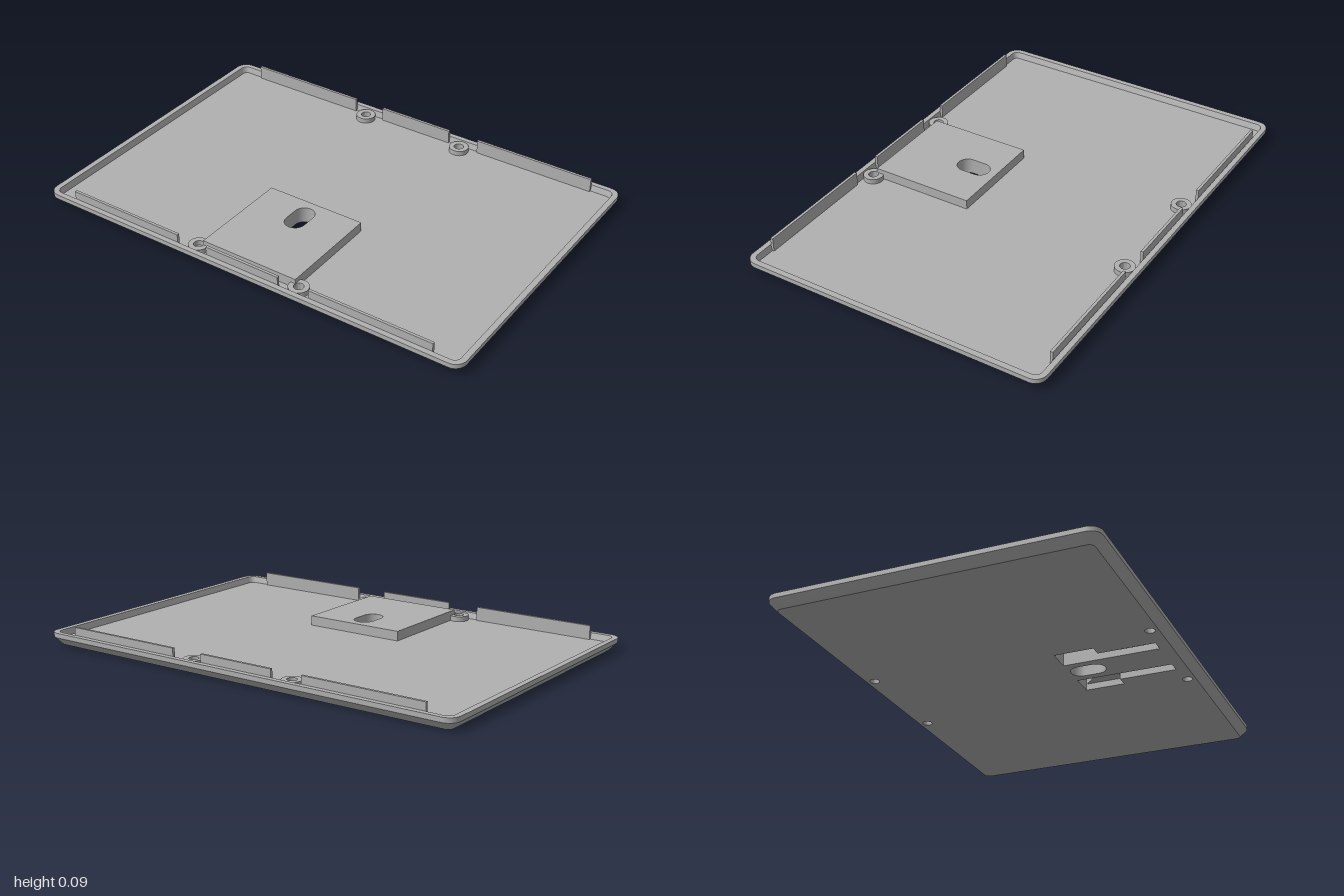
import * as THREE from 'three';
import { mergeGeometries, toCreasedNormals } from 'three/addons/utils/BufferGeometryUtils.js';

const FLOOR = 0.028, RIM = 0.055, CHAMFER = 0.035, PAD = 0.07, BOSS = 0.05, TAB = 0.088;

// Outlines are closed loops of (x, z) points.
const arc = (cx, cz, r, a0, a1, n) => Array.from({ length: n + 1 }, (_, i) => {
  const a = a0 + (a1 - a0) * i / n;
  return new THREE.Vector2(cx + r * Math.cos(a), cz + r * Math.sin(a));
});
const circle = (x, z, r) => arc(x, z, r, 0, Math.PI * 2, 28).slice(0, -1);
const roundedRect = (hx, hz, r) => [[1, 1], [-1, 1], [-1, -1], [1, -1]].flatMap(([sx, sz], i) =>
  arc(sx * (hx - r), sz * (hz - r), r, i * Math.PI / 2, (i + 1) * Math.PI / 2, 8));
const poly = (pts) => pts.map(([x, z]) => new THREE.Vector2(x, z));

// Flat face at height y, facing up or down, with holes.
function cap(outline, holes, y, up) {
  const s = up ? -1 : 1;
  const flip = (pts) => pts.map((p) => new THREE.Vector2(p.x, p.y * s));
  const shape = new THREE.Shape(flip(outline));
  shape.holes = holes.map((h) => new THREE.Path(flip(h)));
  const g = new THREE.ShapeGeometry(shape).rotateX(s * Math.PI / 2).translate(0, y, 0).toNonIndexed();
  g.deleteAttribute('uv');
  return g;
}

// Wall joining two outlines that have equal point counts.
function band(a, ya, b, yb) {
  const pos = [];
  a.forEach((p, i) => {
    const j = (i + 1) % a.length, q = a[j], u = b[i], v = b[j];
    pos.push(p.x, ya, p.y, u.x, yb, u.y, v.x, yb, v.y, p.x, ya, p.y, v.x, yb, v.y, q.x, ya, q.y);
  });
  const g = new THREE.BufferGeometry();
  g.setAttribute('position', new THREE.Float32BufferAttribute(pos, 3));
  g.computeVertexNormals();
  return toCreasedNormals(g, 0.5);
}

export function createModel() {
  const model = new THREE.Group();
  const grey = new THREE.MeshStandardMaterial({ color: 0xb0b0b0, side: THREE.DoubleSide });
  grey.name = 'grey plastic';
  const add = (name, ...geos) => {
    const mesh = new THREE.Mesh(mergeGeometries(geos), grey);
    mesh.name = name;
    model.add(mesh);
    return mesh;
  };

  // Outlines of the openings
  const bossSpots = [[-1, -1], [1, -1], [-1, 1], [1, 1]].map(([x, z]) => [x * 0.246, z * 0.61]);
  const screwHoles = bossSpots.map(([x, z]) => circle(x, z, 0.021));
  const ovalHole = [...arc(0, 0.29, 0.045, 0, Math.PI, 12), ...arc(0, 0.227, 0.045, Math.PI, Math.PI * 2, 12)];
  const slots = [1, -1].map((s) => poly([
    [s * 0.08, 0.18], [s * 0.185, 0.18], [s * 0.185, 0.35],
    [s * 0.135, 0.35], [s * 0.135, 0.595], [s * 0.08, 0.595],
  ]));
  const padOutline = poly([[-0.226, 0.145], [0.226, 0.145], [0.226, 0.605], [-0.226, 0.605]]);

  // Tray shell: chamfered outside, raised rim, steep inner wall
  const base = roundedRect(0.967, 0.645, 0.025);
  const outer = roundedRect(1, 0.678, 0.05);
  const innerTop = roundedRect(0.975, 0.655, 0.028);
  const innerLow = roundedRect(0.966, 0.648, 0.02);
  add('trayShell',
    cap(base, [...screwHoles, ovalHole, ...slots], 0, false),
    band(base, 0, outer, CHAMFER),
    band(outer, CHAMFER, outer, RIM),
    cap(outer, [innerTop], RIM, true),
    band(innerTop, RIM, innerLow, FLOOR));
  add('trayFloor', cap(innerLow, [...screwHoles, padOutline], FLOOR, true));

  // Screw bosses with through holes
  bossSpots.forEach(([x, z], i) => {
    const ring = circle(x, z, 0.043);
    add('screwBoss', cap(ring, [screwHoles[i]], BOSS, true),
      band(ring, FLOOR, ring, BOSS), band(screwHoles[i], 0, screwHoles[i], BOSS));
  });

  // Mounting pad with an oval opening
  add('mountingPad', cap(padOutline, [ovalHole], PAD, true),
    band(padOutline, FLOOR, padOutline, PAD), band(ovalHole, 0, ovalHole, PAD));

  // Hanging slots recessed into the underside
  slots.forEach((s) => add('hangingSlot', band(s, 0, s, 0.055), cap(s, [], 0.055, false)));

  // Snap tabs along the front and back edges
  for (const side of [-1, 1]) {
    for (const [x, w] of [[-0.595, 0.55], [0, 0.35], [0.595, 0.55]]) {
      const tab = new THREE.Mesh(new THREE.BoxGeometry(w, TAB - FLOOR, 0.012), grey);
      tab.name = 'snapTab';
      tab.position.set(x, (TAB + FLOOR) / 2, side * 0.646);
      model.add(tab);
    }
  }
  return model;
}
